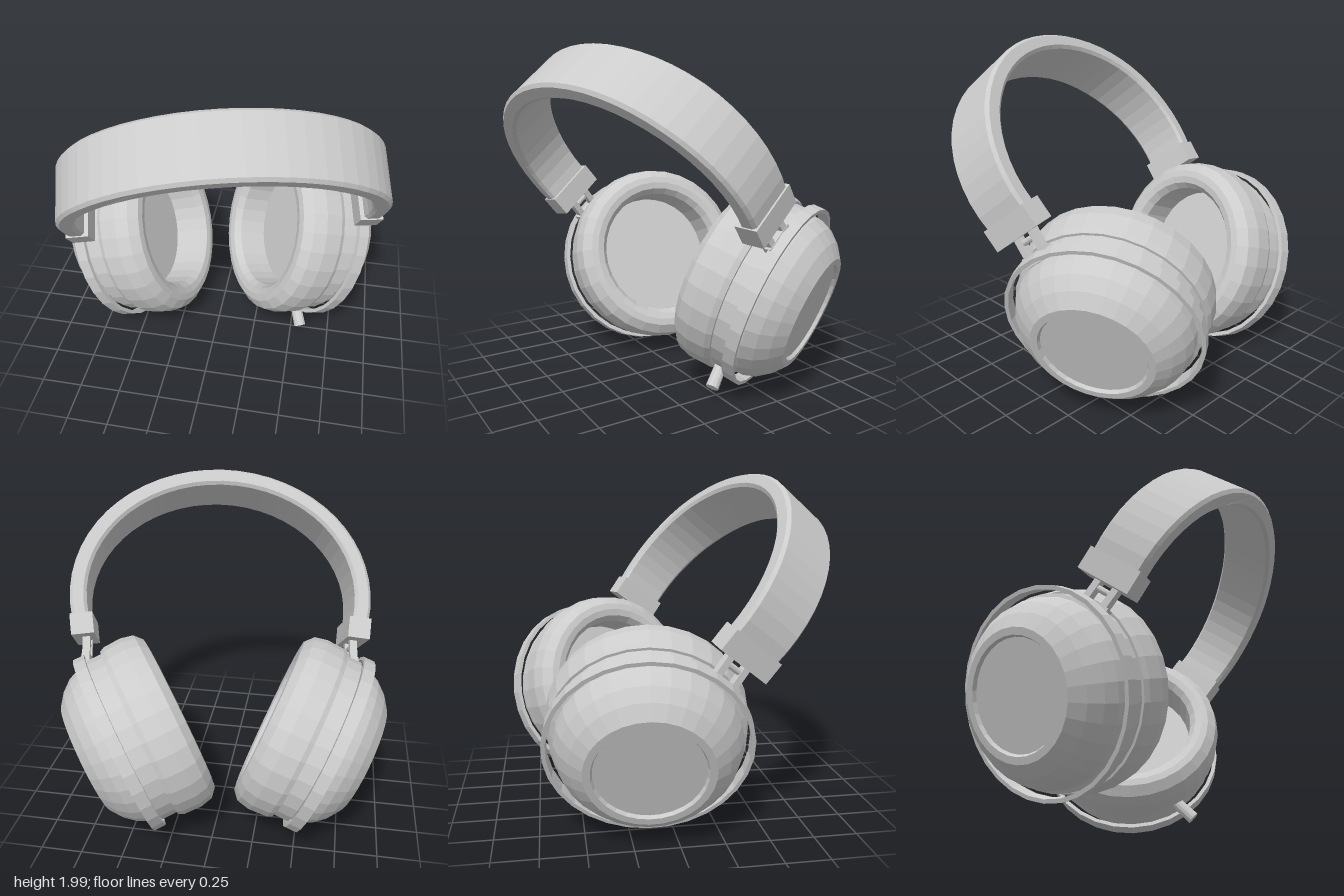
import * as THREE from 'three';

const V = (x, y, z) => new THREE.Vector3(x, y, z);
const grey = new THREE.MeshStandardMaterial({ color: 0xcccccc, flatShading: true });

function add(parent, name, geometry, pos) {
  const mesh = new THREE.Mesh(geometry, grey);
  mesh.name = name;
  if (pos) mesh.position.set(...pos);
  parent.add(mesh);
  return mesh;
}

function lathe(points, sides = 30) {
  return new THREE.LatheGeometry(points.map(([r, y]) => new THREE.Vector2(r, y)), sides);
}

// Arch plate between two ellipses, extruded across the band width
function bandGeometry() {
  const start = -0.2, steps = 32, cy = 0.2, bevel = 0.018, depth = 0.36;
  const arc = (a, b) => Array.from({ length: steps + 1 }, (_, i) => {
    const t = start + (Math.PI - 2 * start) * i / steps;
    return new THREE.Vector2(a * Math.cos(t), cy + b * Math.sin(t));
  });
  const outline = [...arc(0.92 - bevel, 0.80 - bevel), ...arc(0.82 + bevel, 0.70 + bevel).reverse()];
  const g = new THREE.ExtrudeGeometry(new THREE.Shape(outline), {
    depth: depth - 2 * bevel, bevelEnabled: true, bevelSize: bevel, bevelThickness: bevel, bevelSegments: 1,
  });
  g.translate(0, 0, bevel - depth / 2);
  // The band narrows slightly toward both ends
  const p = g.attributes.position;
  for (let i = 0; i < p.count; i++) {
    const k = THREE.MathUtils.clamp(p.getY(i) / 0.7, 0, 1);
    p.setZ(i, p.getZ(i) * (0.88 + 0.12 * k));
  }
  g.computeVertexNormals();
  return g;
}

// Cup: local +y points toward the ear, y = 0 is the cushion face
function earCup(name, face, axis) {
  const cup = new THREE.Group();
  cup.name = name;
  add(cup, 'housing', lathe([
    [0, -0.60], [0.295, -0.60], [0.305, -0.62], [0.345, -0.62], [0.42, -0.565], [0.475, -0.50],
    [0.505, -0.43], [0.51, -0.375], [0.53, -0.365], [0.53, -0.25], [0.40, -0.23],
  ]));
  add(cup, 'cushion', lathe([
    [0.50, -0.27], [0.545, -0.27], [0.56, -0.24], [0.567, -0.13], [0.55, -0.05], [0.50, -0.005],
    [0.46, 0], [0.42, -0.01], [0.39, -0.05], [0.385, -0.24],
  ]));
  add(cup, 'speakerPlate', lathe([[0.40, -0.23], [0, -0.23]]));
  add(cup, 'yokeRing', lathe([
    [0.545, -0.435], [0.568, -0.435], [0.568, -0.365], [0.545, -0.365], [0.545, -0.435],
  ]));
  cup.position.copy(face);
  cup.quaternion.setFromUnitVectors(V(0, 1, 0), axis.clone().normalize());
  return cup;
}

export function createModel() {
  const model = new THREE.Group();
  model.name = 'headphones';

  // Headband assembly in its own tilted frame: x across, y toward the crown, z band width
  const n = V(0.2, -0.61, 0.77).normalize();
  const v = n.clone().cross(V(0.976, 0.042, -0.214)).normalize();
  const u = v.clone().cross(n);
  const head = new THREE.Group();
  head.name = 'headbandAssembly';
  head.quaternion.setFromRotationMatrix(new THREE.Matrix4().makeBasis(u, v, n));
  head.position.set(0.05, 1.085, 0.15);
  model.add(head);
  add(head, 'headband', bandGeometry());

  for (const s of [-1, 1]) {
    // End sleeve, two prongs and a hinge plate on each side
    const sleeve = add(head, 'endSleeve', new THREE.BoxGeometry(0.135, 0.13, 0.335), [s * 0.84, 0, 0]);
    sleeve.rotation.z = -s * 0.12;
    for (const z of [-0.06, 0.06])
      add(head, 'forkProng', new THREE.BoxGeometry(0.045, 0.2, 0.04), [s * 0.82, -0.12, z]);
    add(head, 'hingePlate', new THREE.BoxGeometry(0.05, 0.06, 0.19), [s * 0.82, -0.2, 0]);
    const pin = add(head, 'hingePin', new THREE.CylinderGeometry(0.018, 0.018, 0.14, 10), [s * 0.82, -0.1, 0]);
    pin.rotation.x = Math.PI / 2;
  }

  // Ear cups, each swivelled on its own
  model.add(earCup('rightEarCup', V(-0.29, 0.67, -0.12), V(0.93, 0.35, 0.1)));
  model.add(earCup('leftEarCup', V(0.25, 0.68, -0.2), V(-0.833, 0.325, 0.45)));

  // Cable plug under the left cup
  const base = V(0.50, 0.22, -0.06), tip = V(0.565, 0.075, 0.075);
  const dir = tip.clone().sub(base);
  const plug = add(model, 'cablePlug', new THREE.CylinderGeometry(0.038, 0.034, dir.length(), 12));
  plug.position.copy(base).add(tip).multiplyScalar(0.5);
  plug.quaternion.setFromUnitVectors(V(0, 1, 0), dir.normalize());

  return model;
}
